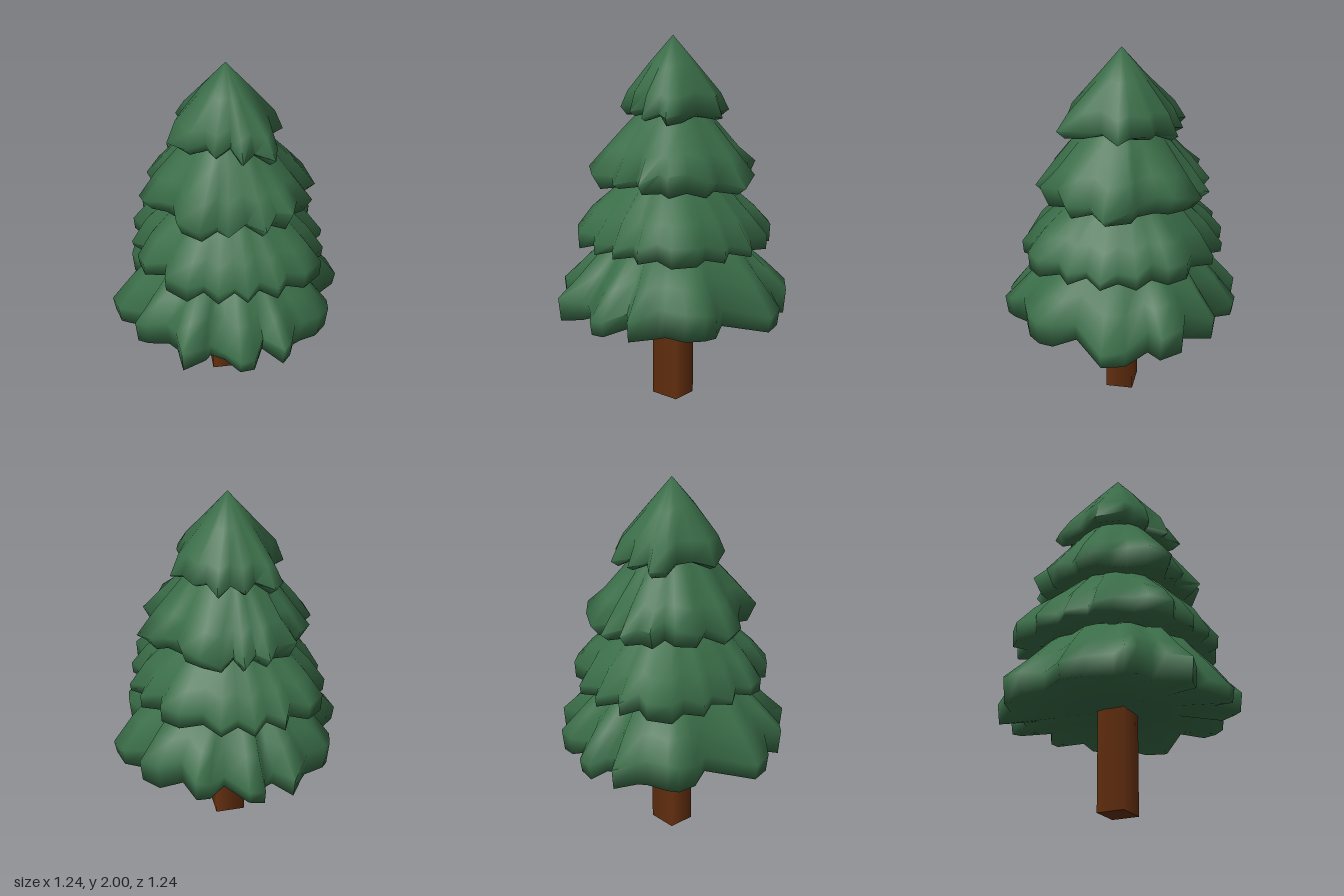
import * as THREE from 'three';
import { toCreasedNormals } from 'three/addons/utils/BufferGeometryUtils.js';

// Small repeatable number generator
function seeded(seed) {
  let s = seed;
  return () => (s = (s * 16807) % 2147483647) / 2147483647;
}

// Plan outlines of the skirts, as x, z pairs
const BOTTOM = [
  0.615, -0.04, 0.58, 0.06, 0.56, 0.1, 0.6, 0.18, 0.605, 0.25, 0.46, 0.25, 0.51, 0.38, 0.46, 0.44,
  0.35, 0.44, 0.27, 0.46, 0.27, 0.5, 0.21, 0.62, 0.1, 0.54, 0.03, 0.53, -0.06, 0.6, -0.13, 0.61,
  -0.16, 0.52, -0.32, 0.545, -0.42, 0.49, -0.44, 0.22, -0.56, 0.18, -0.61, 0.1, -0.62, 0.04,
  -0.57, -0.07, -0.58, -0.12, -0.605, -0.245, -0.47, -0.25, -0.45, -0.3, -0.51, -0.38, -0.45, -0.44,
  -0.28, -0.43, -0.26, -0.53, -0.21, -0.585, -0.07, -0.52, 0.01, -0.62, 0.14, -0.61, 0.16, -0.52,
  0.32, -0.55, 0.43, -0.49, 0.435, -0.24, 0.56, -0.2, 0.61, -0.14,
];
const LOWER = [
  0.57, 0.03, 0.5, 0.1, 0.52, 0.2, 0.41, 0.22, 0.42, 0.33, 0.33, 0.33, 0.3, 0.43, 0.2, 0.43,
  0.16, 0.52, 0.02, 0.53, -0.04, 0.45, -0.16, 0.5, -0.25, 0.45, -0.26, 0.37, -0.38, 0.36,
  -0.39, 0.25, -0.5, 0.22, -0.49, 0.11, -0.58, 0.06, -0.58, -0.07, -0.49, -0.12, -0.53, -0.22,
  -0.42, -0.24, -0.43, -0.36, -0.32, -0.36, -0.29, -0.47, -0.16, -0.45, -0.07, -0.54, 0.05, -0.54,
  0.1, -0.46, 0.22, -0.5, 0.27, -0.4, 0.38, -0.4, 0.39, -0.28, 0.49, -0.25, 0.48, -0.15, 0.58, -0.1,
];
const UPPER = [
  0.47, 0.04, 0.4, 0.08, 0.42, 0.19, 0.3, 0.2, 0.28, 0.32, 0.2, 0.32, 0.18, 0.43, 0.05, 0.45,
  -0.04, 0.37, -0.14, 0.36, -0.24, 0.38, -0.32, 0.33, -0.31, 0.21, -0.4, 0.18, -0.42, 0.06,
  -0.38, 0, -0.47, -0.06, -0.4, -0.13, -0.42, -0.22, -0.33, -0.22, -0.34, -0.33, -0.25, -0.3,
  -0.24, -0.4, -0.14, -0.44, -0.03, -0.45, 0.03, -0.4, 0.14, -0.39, 0.2, -0.42, 0.33, -0.36,
  0.33, -0.22, 0.44, -0.17, 0.42, -0.06,
];
const TOP = [
  0.36, 0.05, 0.25, 0.08, 0.25, 0.17, 0.14, 0.13, 0.12, 0.23, 0.04, 0.21, -0.03, 0.28, -0.19, 0.24,
  -0.21, 0.13, -0.24, 0.05, -0.34, 0, -0.35, -0.08, -0.24, -0.1, -0.25, -0.2, -0.16, -0.2,
  -0.15, -0.3, -0.05, -0.26, 0, -0.3, 0.1, -0.25, 0.18, -0.25, 0.2, -0.12, 0.3, -0.04,
];

// Lofts a closed skirt through rings of [height, radius factor, lobe strength, diagonal droop]
function skirtGeometry({ outline, radius, rings, seed }) {
  const rand = seeded(seed);
  const n = outline.length / 2;
  const mean = radius * 0.87;
  const points = rings.map(([y, k, lobes, droop = 0]) => Array.from({ length: n }, (_, i) => {
    const x = outline[i * 2], z = outline[i * 2 + 1];
    const r = Math.hypot(x, z), a = Math.atan2(z, x);
    const scale = (k * (mean + (r - mean) * lobes)) / r;
    // Tips hang slightly lower than the notches between them
    const hang = ((mean - r) / radius) * 0.12 + (rand() - 0.5) * 0.02;
    const dy = hang * lobes - droop * (1 - Math.cos(4 * a)) / 2;
    return new THREE.Vector3(x * scale, y + dy, z * scale);
  }));
  const pos = [];
  const face = (...vs) => vs.forEach((v) => pos.push(v.x, v.y, v.z));
  for (let j = 0; j < rings.length - 1; j++) {
    for (let i = 0; i < n; i++) {
      const m = (i + 1) % n;
      const a = points[j][i], b = points[j][m], c = points[j + 1][m], d = points[j + 1][i];
      if (rings[j][1] > 0) face(a, d, b);
      if (rings[j + 1][1] > 0) face(b, d, c);
    }
  }
  const geo = new THREE.BufferGeometry();
  geo.setAttribute('position', new THREE.Float32BufferAttribute(pos, 3));
  return toCreasedNormals(geo, 1.7);
}

export function createModel() {
  const group = new THREE.Group();
  group.name = 'pineTree';
  const needles = new THREE.MeshStandardMaterial({ color: 0x3a6d48 });
  needles.name = 'needle green';
  const bark = new THREE.MeshStandardMaterial({ color: 0x66300f });
  bark.name = 'bark brown';

  // Trunk: a four-sided, slightly skewed post
  const trunkGeo = new THREE.CylinderGeometry(0.113, 0.113, 0.62, 4);
  trunkGeo.applyMatrix4(new THREE.Matrix4().set(
    1, 0, 0, 0,
    0, 1, 0, 0.31,
    -0.1, 0, 1, 0,
    0, 0, 0, 1,
  ));
  const trunk = new THREE.Mesh(trunkGeo, bark);
  trunk.name = 'trunk';
  group.add(trunk);

  // Four skirts of branches, widest at the bottom
  const skirts = [
    {
      name: 'bottomBranches', outline: BOTTOM, radius: 0.62, seed: 11,
      rings: [[0.54, 0, 0], [0.545, 0.5, 0.4], [0.53, 0.98, 1], [0.68, 1, 1, 0.08],
        [0.78, 0.83, 0.95, 0.03], [0.9, 0.64, 0.7], [1.0, 0.3, 0]],
    },
    {
      name: 'lowerBranches', outline: LOWER, radius: 0.58, seed: 23,
      rings: [[0.93, 0, 0], [0.92, 0.5, 0.4], [0.9, 0.97, 1], [1.0, 0.98, 1, 0.06],
        [1.09, 0.83, 0.9, 0.02], [1.22, 0.56, 0.6], [1.34, 0.3, 0]],
    },
    {
      name: 'upperBranches', outline: UPPER, radius: 0.47, seed: 41,
      rings: [[1.28, 0, 0], [1.26, 0.5, 0.4], [1.225, 0.9, 1], [1.335, 1, 1, 0.07],
        [1.42, 0.81, 0.85, 0.02], [1.55, 0.55, 0.6], [1.68, 0.25, 0]],
    },
    {
      name: 'topBranches', outline: TOP, radius: 0.35, seed: 67,
      rings: [[1.62, 0, 0], [1.6, 0.5, 0.4], [1.575, 0.88, 1], [1.615, 1, 1, 0.03],
        [1.7, 0.85, 0.75], [1.85, 0.43, 0.3], [2.0, 0, 0]],
    },
  ];
  for (const s of skirts) {
    const mesh = new THREE.Mesh(skirtGeometry(s), needles);
    mesh.name = s.name;
    group.add(mesh);
  }
  return group;
}
